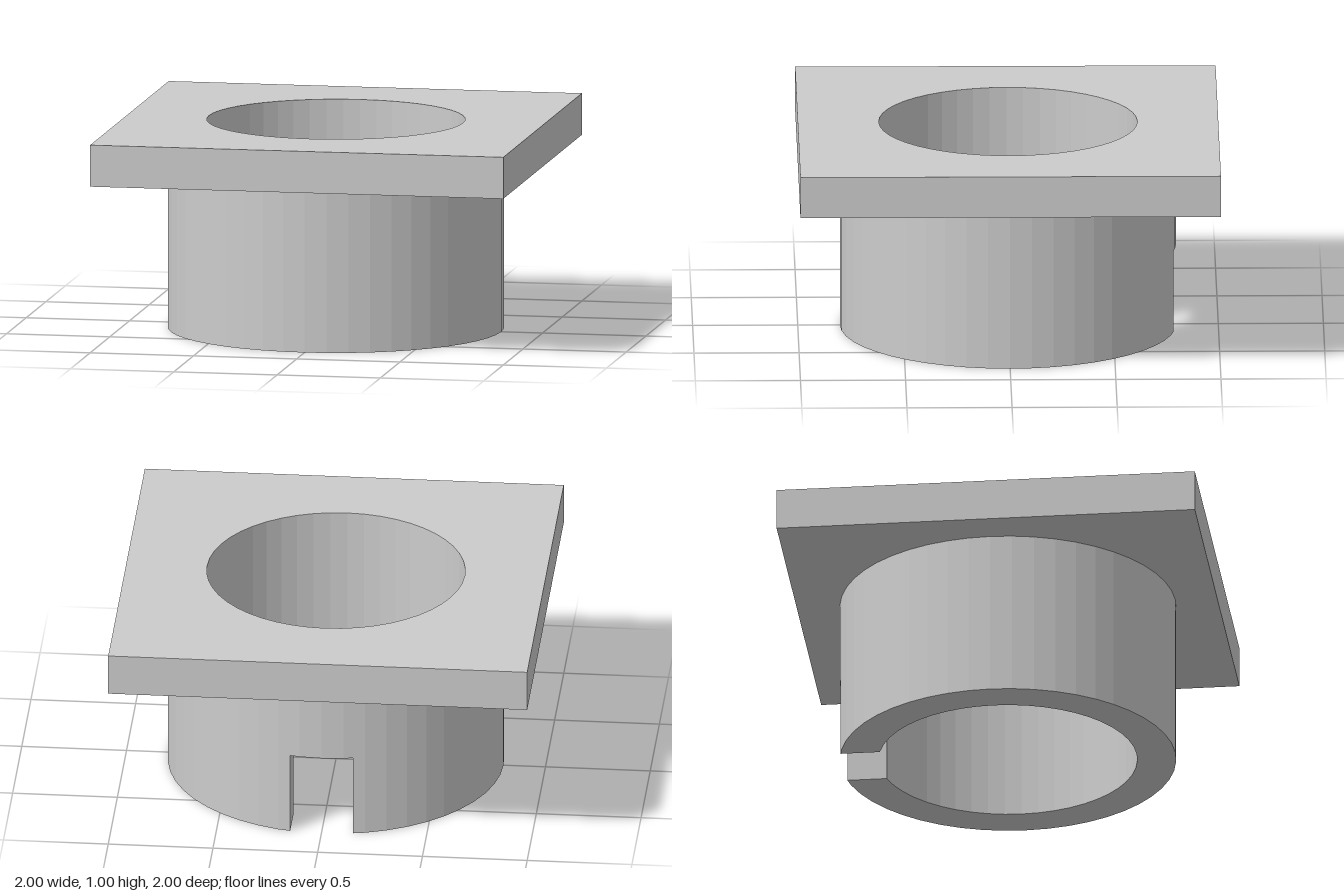
import * as THREE from 'three';

const SIDES = 48, OUTER = 0.8, INNER = 0.615, SLOT = 0.15;

// Point on a circle, counted in facets from the back (-z) of the model
const onCircle = (r, k) => {
  const a = (k / SIDES) * Math.PI * 2;
  return new THREE.Vector2(r * Math.sin(a), r * Math.cos(a));
};

// Clockwise circle, as needed for holes
const circle = (r) => Array.from({ length: SIDES }, (_, k) => onCircle(r, k));

// Faceted arc that stops at both sides of the slot
function slottedArc(r) {
  const a = onCircle(r, 1), b = onCircle(r, 2);
  const end = a.clone().lerp(b, (SLOT - a.x) / (b.x - a.x));
  const pts = [end];
  for (let k = 2; k <= SIDES - 2; k++) pts.push(onCircle(r, k));
  pts.push(new THREE.Vector2(-end.x, end.y));
  return pts;
}

export function createModel() {
  const group = new THREE.Group();
  const grey = new THREE.MeshStandardMaterial({ color: 0xcccccc });
  grey.name = 'grey';

  // Extrudes a counter-clockwise floor plan upward from y0 to y1
  const addPart = (name, outline, holes, y0, y1) => {
    const shape = new THREE.Shape(outline);
    shape.holes = holes.map((points) => new THREE.Path(points));
    const geometry = new THREE.ExtrudeGeometry(shape, { depth: y1 - y0, bevelEnabled: false });
    geometry.rotateX(-Math.PI / 2).translate(0, y0, 0);
    const mesh = new THREE.Mesh(geometry, grey);
    mesh.name = name;
    group.add(mesh);
  };

  // Square flange with a round bore
  const square = [[-1, -1], [1, -1], [1, 1], [-1, 1]].map(([x, y]) => new THREE.Vector2(x, y));
  addPart('flangePlate', square, [circle(INNER)], 0.8, 1);

  // Round sleeve: full ring above, ring with the rear slot below
  addPart('upperSleeve', circle(OUTER).reverse(), [circle(INNER)], 0.4, 0.8);
  addPart('slottedSleeve', [...slottedArc(INNER), ...slottedArc(OUTER).reverse()], [], 0, 0.4);

  return group;
}
